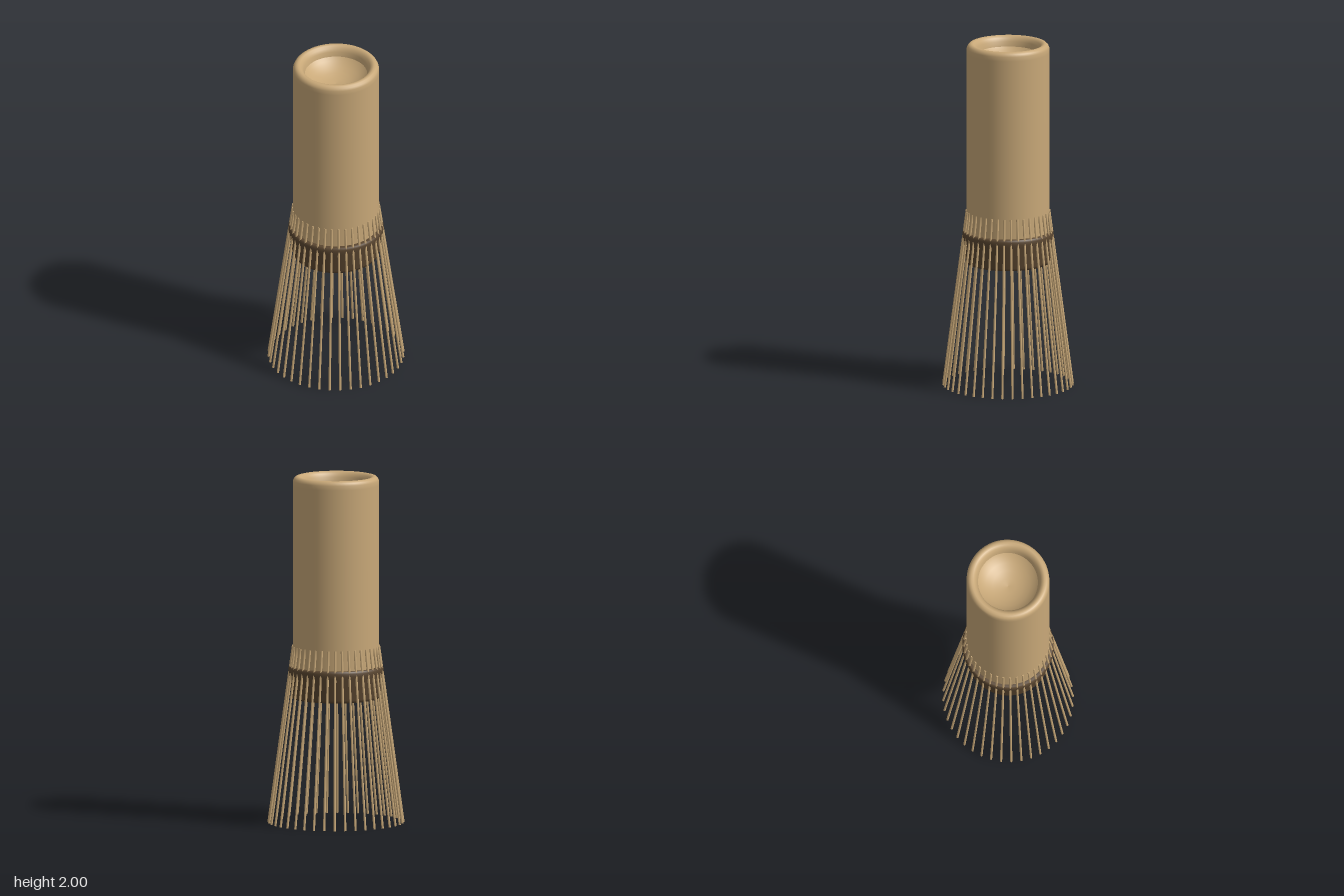
import * as THREE from 'three';

const DEPTH = 0.96; // the whole whisk is slightly oval

function material(name, color) {
  const m = new THREE.MeshStandardMaterial({ color });
  m.name = name;
  return m;
}

function lathe(name, points, mat) {
  const profile = points.map(([r, y]) => new THREE.Vector2(r, y));
  const mesh = new THREE.Mesh(new THREE.LatheGeometry(profile, 64), mat);
  mesh.name = name;
  return mesh;
}

export function createModel() {
  const bamboo = material('bamboo', 0xc8a878);
  const binding = material('dark binding', 0x5a4630);
  const model = new THREE.Group();
  model.name = 'whisk';

  // Handle wall, rounded lip and hollowed top
  model.add(lathe('handle', [
    [0.247, 0.85], [0.247, 1.4], [0.247, 1.95], [0.246, 1.975], [0.24, 1.988], [0.23, 1.997],
    [0.218, 2], [0.206, 1.997], [0.194, 1.986], [0.184, 1.968], [0.178, 1.94],
  ], bamboo));
  model.add(lathe('handleHollow', [
    [0.178, 1.94], [0.16, 1.922], [0.13, 1.902], [0.09, 1.884], [0.045, 1.874], [0, 1.87],
  ], bamboo));

  // Binding collar: a ridge on top, tapering to a closed underside
  model.add(lathe('bindingCollar', [
    [0, 0.72], [0.247, 0.72], [0.251, 0.735], [0.26, 0.8], [0.27, 0.86], [0.272, 0.875],
    [0.272, 0.89], [0.268, 0.901], [0.262, 0.905], [0.24, 0.905],
  ], binding));

  // Ring of splayed tines
  const count = 40, radius = 0.0068;
  const topR = 0.246, topY = 1.02, footR = 0.386;
  const run = footR - topR;
  const tineGeometry = new THREE.CylinderGeometry(radius, radius, Math.hypot(run, topY), 8);
  tineGeometry.rotateZ(Math.atan2(run, topY));
  tineGeometry.translate((topR + footR) / 2, topY / 2 + 0.001, 0);
  const tines = new THREE.Group();
  tines.name = 'tines';
  for (let i = 0; i < count; i++) {
    const tine = new THREE.Mesh(tineGeometry, bamboo);
    tine.name = 'tine';
    tine.rotation.y = (i / count) * Math.PI * 2;
    tines.add(tine);
  }
  model.add(tines);

  model.scale.z = DEPTH;
  return model;
}
